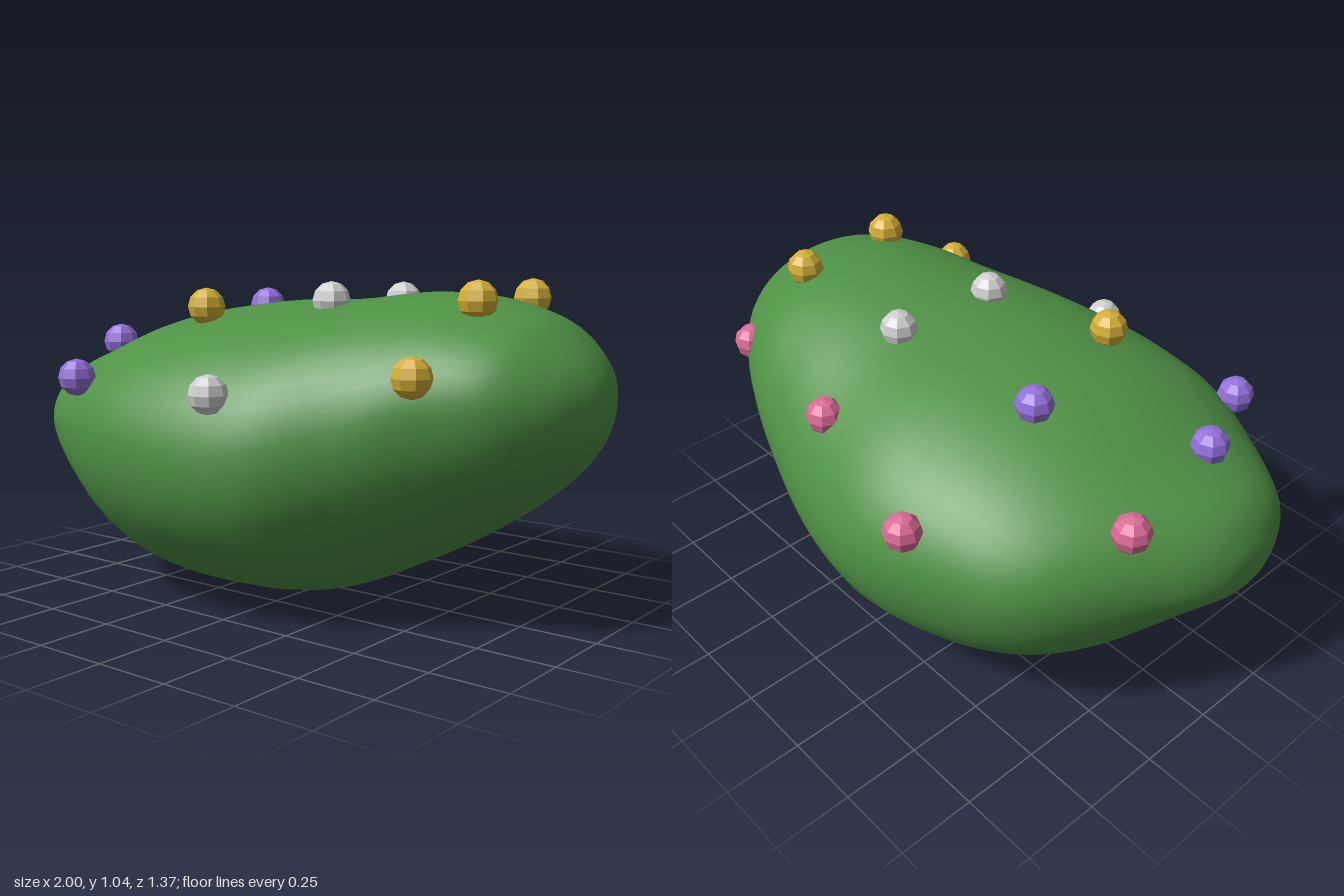
import * as THREE from 'three';
import { mergeVertices } from 'three/addons/utils/BufferGeometryUtils.js';

// Stations along x: x, top y, bottom y, front z, back z, height of the widest line
const STATIONS = [
  [-1, 0.53, 0.53, 0.14, 0.14, 0.53],
  [-0.98, 0.62, 0.45, 0.25, 0, 0.53],
  [-0.9, 0.72, 0.37, 0.39, -0.17, 0.54],
  [-0.7, 0.81, 0.18, 0.53, -0.48, 0.54],
  [-0.45, 0.9, 0.03, 0.645, -0.62, 0.53],
  [-0.15, 0.95, 0, 0.68, -0.69, 0.5],
  [0.15, 0.965, 0.03, 0.64, -0.65, 0.49],
  [0.4, 0.993, 0.14, 0.51, -0.58, 0.56],
  [0.6, 0.985, 0.25, 0.42, -0.505, 0.66],
  [0.8, 0.935, 0.385, 0.33, -0.38, 0.69],
  [0.92, 0.85, 0.5, 0.21, -0.25, 0.69],
  [0.98, 0.77, 0.6, 0.09, -0.11, 0.69],
  [1, 0.69, 0.69, 0, 0, 0.69],
];

// Smooth body lofted through sections made of four quarter ellipses
function bodyGeometry(rings = 72, sides = 48) {
  const spline = (a, b, c) => new THREE.CatmullRomCurve3(
    STATIONS.map((s) => new THREE.Vector3(s[a], s[b], s[c])), false, 'catmullrom', 0.5);
  const heights = spline(0, 1, 2), depths = spline(3, 4, 5);
  const positions = [], index = [];
  for (let i = 0; i <= rings; i++) {
    const { x, y: top, z: bottom } = heights.getPoint(i / rings);
    const { x: front, y: back, z: mid } = depths.getPoint(i / rings);
    const zc = (front + back) / 2;
    for (let j = 0; j < sides; j++) {
      const a = (j / sides) * Math.PI * 2, s = Math.sin(a);
      positions.push(x, mid + s * (s > 0 ? top - mid : mid - bottom), zc + Math.cos(a) * (front - zc));
      if (i === rings) continue;
      const k = (j + 1) % sides, p = i * sides, q = p + sides;
      index.push(p + j, q + j, p + k, q + j, q + k, p + k);
    }
  }
  const g = new THREE.BufferGeometry();
  g.setAttribute('position', new THREE.Float32BufferAttribute(positions, 3));
  g.setIndex(index);
  const merged = mergeVertices(g, 1e-5);
  merged.computeVertexNormals();
  return merged;
}

// Berry centres by colour
const BERRIES = {
  yellow: [[0.66, 0.98, 0.13], [0.645, 0.975, -0.22], [0.625, 0.78, 0.41], [-0.25, 0.94, 0.29]],
  white: [[0.14, 0.965, 0.14], [0.17, 0.955, -0.21], [0.055, 0.71, 0.61]],
  purple: [[-0.74, 0.8, 0.21], [-0.37, 0.925, -0.15], [-0.56, 0.715, 0.57]],
  pink: [[-0.33, 0.69, -0.62], [0.165, 0.775, -0.515], [0.705, 0.745, -0.42], [-0.81, 0.75, -0.2]],
};
const COLOURS = { yellow: 0xd4af37, white: 0xd0d0d0, purple: 0x9370db, pink: 0xdb6b97 };

export function createModel() {
  const model = new THREE.Group();
  model.name = 'berryBush';

  const green = new THREE.MeshStandardMaterial({ color: 0x4f9145 });
  green.name = 'leaf green';
  const body = new THREE.Mesh(bodyGeometry(), green);
  body.name = 'bushBody';
  model.add(body);

  // Faceted berries half sunk into the body
  const berryGeometry = new THREE.SphereGeometry(0.06, 8, 6);
  for (const [colour, centres] of Object.entries(BERRIES)) {
    const material = new THREE.MeshStandardMaterial({ color: COLOURS[colour], flatShading: true });
    material.name = `berry ${colour}`;
    const cluster = new THREE.Group();
    cluster.name = `${colour}Berries`;
    centres.forEach((centre, i) => {
      const berry = new THREE.Mesh(berryGeometry, material);
      berry.name = `${colour}Berry${i + 1}`;
      berry.position.set(...centre);
      cluster.add(berry);
    });
    model.add(cluster);
  }
  return model;
}
